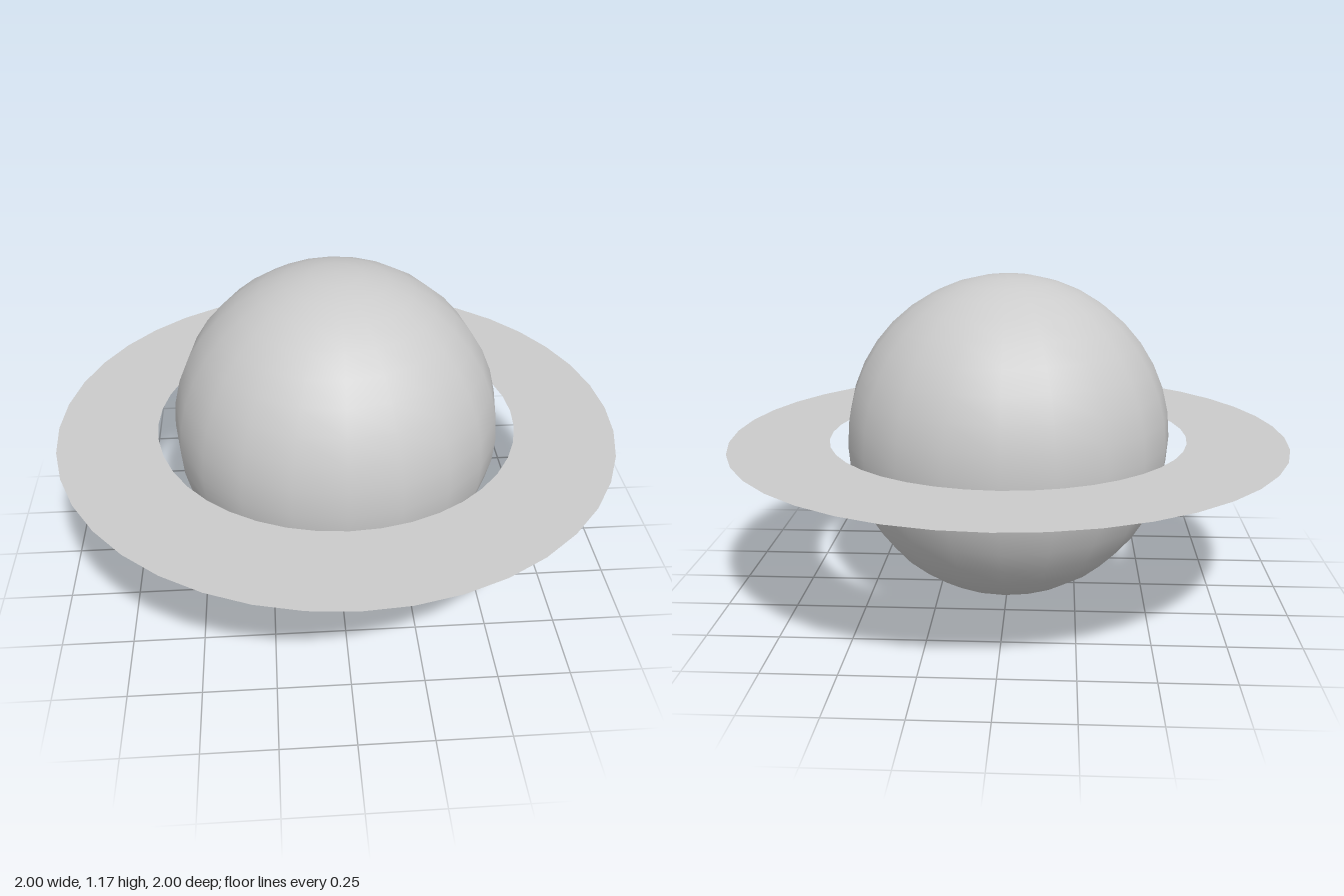
import * as THREE from 'three';

const RADIUS = 0.583;      // planet radius, also the height of its centre
const RING_INNER = 0.645;
const RING_OUTER = 1;

export function createModel() {
  const model = new THREE.Group();
  model.name = 'ringedPlanet';

  // Smooth globe standing on the ground
  const globe = new THREE.Mesh(
    new THREE.SphereGeometry(RADIUS, 20, 20),
    new THREE.MeshStandardMaterial({ color: 0xcccccc })
  );
  globe.name = 'globe';
  globe.position.y = RADIUS;
  model.add(globe);

  // Flat, paper-thin ring lying level around the equator
  const ring = new THREE.Mesh(
    new THREE.RingGeometry(RING_INNER, RING_OUTER, 40).rotateX(-Math.PI / 2),
    new THREE.MeshStandardMaterial({ color: 0xcccccc, side: THREE.DoubleSide })
  );
  ring.name = 'ring';
  ring.position.y = RADIUS;
  model.add(ring);

  return model;
}
